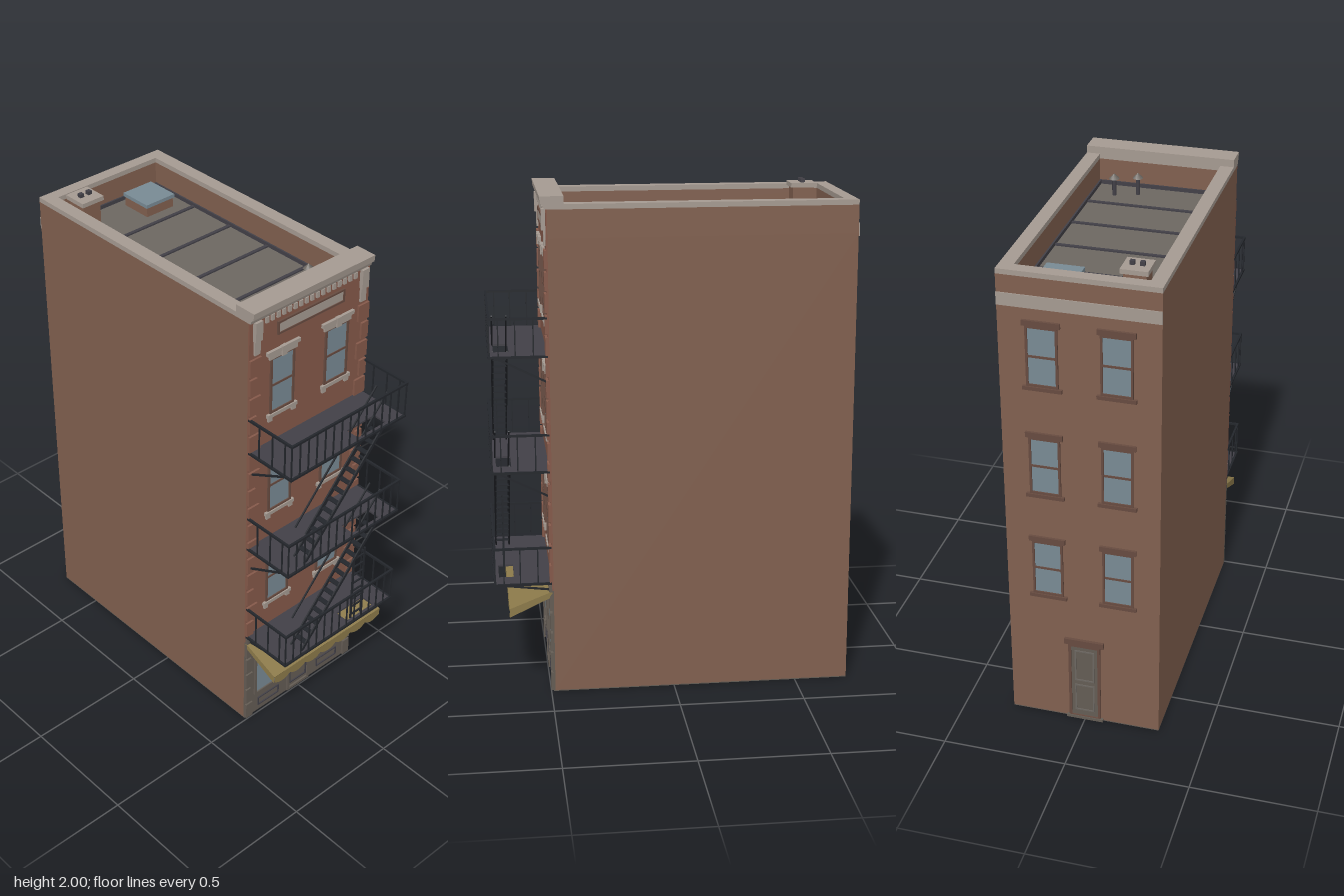
import * as THREE from 'three';

const material = (name, color, side = THREE.FrontSide) => {
  const m = new THREE.MeshStandardMaterial({ color, side });
  m.name = name;
  return m;
};

export function createModel() {
  const model = new THREE.Group();
  model.name = 'townhouse';
  const frontBrick = material('front brick', 0x85594a);
  const sideBrick = material('side brick', 0x81604f);
  const stone = material('pale stone', 0xa59a91);
  const grey = material('grey stone', 0x645c54);
  const iron = material('black iron', 0x23262b);
  const deckMat = material('deck', 0x424047);
  const glass = material('glass', 0x788a94);
  const roofMat = material('roofing', 0x6c6761);
  const canvas = material('awning canvas', 0x8c7a4a, THREE.DoubleSide);
  const trim = material('brown trim', 0x674b40);

  const group = (name, parent = model) => {
    const g = new THREE.Group();
    g.name = name;
    parent.add(g);
    return g;
  };
  const add = (parent, name, geo, mat) => {
    const m = new THREE.Mesh(geo, mat);
    m.name = name;
    parent.add(m);
    return m;
  };
  // Box given by its limits on each axis
  const box = (parent, name, mat, x0, x1, y0, y1, z0, z1) => {
    const m = add(parent, name, new THREE.BoxGeometry(x1 - x0, y1 - y0, z1 - z0), mat);
    m.position.set((x0 + x1) / 2, (y0 + y1) / 2, (z0 + z1) / 2);
    return m;
  };
  // Square bar between two points
  const bar = (parent, name, mat, a, b, w = 0.007, h = w) => {
    const p = new THREE.Vector3(...a), q = new THREE.Vector3(...b);
    const m = add(parent, name, new THREE.BoxGeometry(w, h, p.distanceTo(q)), mat);
    m.position.copy(p).add(q).multiplyScalar(0.5);
    m.lookAt(q);
    return m;
  };
  // Four-sided border around a rectangle on the facade
  const border = (parent, name, mat, x0, x1, y0, y1, z0, z1, w) => {
    box(parent, name, mat, x0, x0 + w, y0, y1, z0, z1);
    box(parent, name, mat, x1 - w, x1, y0, y1, z0, z1);
    box(parent, name, mat, x0 + w, x1 - w, y0, y0 + w, z0, z1);
    box(parent, name, mat, x0 + w, x1 - w, y1 - w, y1, z0, z1);
  };

  const W = 0.305, F = 0.49, B = -0.715, ROOF = 1.84, STEP = 0.462;

  // Main body, front skin and parapet
  const body = group('body');
  box(body, 'walls', sideBrick, -W, W, 0.004, ROOF, B, F - 0.006);
  box(body, 'foundation', grey, -W, W, 0, 0.004, B, F);
  box(body, 'frontWall', frontBrick, -W, W, 0.43, 1.95, F - 0.006, F);
  for (const s of [-1, 1]) {
    const [a, b] = s < 0 ? [-W, -0.25] : [0.25, W];
    box(body, 'sideParapet', sideBrick, a, b, ROOF, 1.95, B, F - 0.006);
    box(body, 'sideCoping', stone, a, b, 1.95, 1.97, B, 0.43);
  }
  box(body, 'backParapet', sideBrick, -0.25, 0.25, ROOF, 1.95, B, -0.665);
  box(body, 'backCoping', stone, -0.25, 0.25, 1.95, 1.97, B, -0.665);
  box(body, 'frontParapet', sideBrick, -0.25, 0.25, ROOF, 1.95, 0.42, F - 0.006);
  box(body, 'backBand', stone, -W, W, 1.83, 1.88, B - 0.004, B);

  // Roof deck, seams, chimney, skylight and vents
  const roof = group('roof');
  box(roof, 'roofDeck', roofMat, -0.25, 0.25, ROOF, ROOF + 0.004, -0.665, 0.42);
  for (const z of [-0.425, -0.21, 0.005, 0.22])
    box(roof, 'roofSeam', deckMat, -0.25, 0.25, ROOF, ROOF + 0.01, z - 0.007, z + 0.007);
  for (const s of [-1, 1]) box(roof, 'flashing', deckMat, s * 0.247 - 0.004, s * 0.247 + 0.004, ROOF, ROOF + 0.02, -0.665, 0.42);
  for (const z of [-0.662, 0.417]) box(roof, 'flashing', deckMat, -0.25, 0.25, ROOF, ROOF + 0.02, z - 0.004, z + 0.004);
  box(roof, 'chimney', sideBrick, -0.222, -0.138, ROOF, 1.97, -0.627, -0.543);
  box(roof, 'chimneyCap', stone, -0.232, -0.128, 1.967, 1.985, -0.637, -0.533);
  for (const x of [-0.199, -0.161]) box(roof, 'chimneyFlue', deckMat, x - 0.009, x + 0.009, 1.985, 2, -0.594, -0.576);
  box(roof, 'skylightCurb', sideBrick, 0.05, 0.185, ROOF, 1.885, -0.62, -0.485);
  box(roof, 'skylightGlass', glass, 0.045, 0.19, 1.885, 1.9, -0.625, -0.48);
  for (const [x, z] of [[0.07, 0.345], [0.16, 0.315]]) {
    add(roof, 'ventPipe', new THREE.CylinderGeometry(0.009, 0.009, 0.08, 8), deckMat).position.set(x, ROOF + 0.04, z);
    add(roof, 'ventCap', new THREE.ConeGeometry(0.022, 0.022, 8), roofMat).position.set(x, ROOF + 0.085, z);
  }

  // Front cornice with dentils, scroll brackets and frieze panel
  const cornice = group('cornice');
  const profile = new THREE.Shape([[0.42, 1.95], [0.495, 1.95], [0.5, 1.965], [0.51, 1.972], [0.513, 2], [0.42, 2]]
    .map(([z, y]) => new THREE.Vector2(-z, y)));
  const crown = add(cornice, 'crown', new THREE.ExtrudeGeometry(profile, { depth: 2 * W, bevelEnabled: false }), stone);
  crown.rotation.y = Math.PI / 2;
  crown.position.x = -W;
  for (let i = 0; i < 17; i++) {
    const x = -0.224 + i * 0.028;
    box(cornice, 'dentil', stone, x - 0.007, x + 0.007, 1.925, 1.95, F, F + 0.009);
  }
  for (const s of [-1, 1]) {
    const x = s * 0.27;
    box(cornice, 'bracketTop', stone, x - 0.017, x + 0.017, 1.87, 1.95, F, F + 0.016);
    box(cornice, 'bracketFoot', stone, x - 0.014, x + 0.014, 1.81, 1.87, F, F + 0.008);
  }
  box(cornice, 'friezePanel', stone, -0.162, 0.162, 1.858, 1.897, F, F + 0.005);
  border(cornice, 'friezeFrame', trim, -0.17, 0.17, 1.85, 1.905, F, F + 0.008, 0.008);

  // Corner quoins
  const quoins = group('quoins');
  for (let i = 0; i < 16; i++) {
    const y = 0.465 + i * 0.084, w = i % 2 ? 0.056 : 0.036;
    for (const s of [-1, 1])
      box(quoins, 'quoin', frontBrick, s < 0 ? -W : W - w, s < 0 ? -W + w : W, y, y + 0.07, F, F + 0.009);
  }

  // Sash windows; built facing +z, then placed on either wall
  const makeWindow = (name, lintel, fancy) => {
    const g = group(name);
    box(g, 'pane', glass, -0.053, 0.053, 0, 0.235, 0, 0.002);
    border(g, 'frame', trim, -0.061, 0.061, -0.005, 0.24, 0, 0.007, 0.009);
    box(g, 'meetingRail', trim, -0.053, 0.053, 0.112, 0.121, 0, 0.005);
    box(g, 'sill', lintel, -0.075, 0.075, -0.02, -0.005, 0, 0.012);
    if (fancy) {
      box(g, 'lintel', lintel, -0.07, 0.07, 0.236, 0.26, 0, 0.009);
      box(g, 'lintelCap', lintel, -0.082, 0.082, 0.256, 0.272, 0, 0.012);
      box(g, 'keystone', lintel, -0.012, 0.012, 0.234, 0.274, 0, 0.015);
      for (const x of [-0.06, 0.06]) box(g, 'sillBracket', lintel, x - 0.01, x + 0.01, -0.038, -0.02, 0, 0.009);
    } else box(g, 'lintel', lintel, -0.072, 0.072, 0.24, 0.262, 0, 0.01);
    return g;
  };
  for (let f = 0; f < 3; f++)
    for (const x of [-0.14, 0.14]) {
      makeWindow('frontWindow', stone, true).position.set(x, 0.598 + f * STEP, F);
      const back = makeWindow('backWindow', trim, false);
      back.position.set(x, 0.598 + f * STEP, B);
      back.rotation.y = Math.PI;
    }

  // Back door
  const door = group('backDoor');
  door.position.z = B;
  door.rotation.y = Math.PI;
  box(door, 'doorLeaf', grey, -0.055, 0.055, 0.01, 0.36, 0, 0.003);
  border(door, 'doorFrame', trim, -0.065, 0.065, 0.004, 0.37, 0, 0.008, 0.011);
  box(door, 'doorLintel', trim, -0.08, 0.08, 0.37, 0.395, 0, 0.012);
  box(door, 'doorStep', grey, -0.075, 0.075, 0, 0.012, 0, 0.012);
  for (const [a, b] of [[0.04, 0.17], [0.19, 0.34]]) border(door, 'doorPanel', roofMat, -0.04, 0.04, a, b, 0, 0.006, 0.006);

  // Ground floor shopfront
  const shop = group('shopfront');
  box(shop, 'shopWall', grey, -W, W, 0.004, 0.43, F - 0.006, F);
  box(shop, 'shopCornice', grey, -W, W, 0.425, 0.455, F, F + 0.012);
  for (const s of [-1, 1]) {
    const x = s * 0.172;
    box(shop, 'shopGlass', glass, x - 0.073, x + 0.073, 0.115, 0.4, F, F + 0.002);
    border(shop, 'shopFrame', grey, x - 0.082, x + 0.082, 0.105, 0.41, F, F + 0.008, 0.01);
    border(shop, 'lowerPanel', deckMat, x - 0.06, x + 0.06, 0.03, 0.072, F, F + 0.005, 0.005);
    for (let i = 0; i < 5; i++) {
      const w = i % 2 ? 0.026 : 0.036, y = 0.005 + i * 0.085;
      box(shop, 'baseQuoin', grey, s < 0 ? -W : W - w, s < 0 ? -W + w : W, y, y + 0.075, F, F + 0.01);
    }
  }
  box(shop, 'doorGlass', glass, -0.051, 0.051, 0.14, 0.39, F, F + 0.002);
  border(shop, 'doorFrame', grey, -0.064, 0.064, 0.004, 0.4, F, F + 0.008, 0.012);
  border(shop, 'doorPanel', deckMat, -0.05, 0.05, 0.035, 0.125, F, F + 0.005, 0.006);

  // Awning: sloping top, side flaps and scalloped valance
  const awning = group('awning');
  bar(awning, 'awningTop', canvas, [0, 0.425, F], [0, 0.358, 0.66], 2 * W, 0.005);
  const N = 7, sw = 2 * W / N, val = new THREE.Shape();
  val.moveTo(-W, 0.36);
  val.lineTo(-W, 0.332);
  for (let i = 0; i < N; i++) val.quadraticCurveTo(-W + (i + 0.5) * sw, 0.3, -W + (i + 1) * sw, 0.332);
  val.lineTo(W, 0.36);
  add(awning, 'valance', new THREE.ShapeGeometry(val, 6), canvas).position.z = 0.661;
  const flap = new THREE.Shape([[F, 0.425], [0.66, 0.358], [0.66, 0.325], [F, 0.405]].map(([z, y]) => new THREE.Vector2(-z, y)));
  for (const x of [-W, W]) {
    const m = add(awning, 'sideFlap', new THREE.ShapeGeometry(flap), canvas);
    m.rotation.y = Math.PI / 2;
    m.position.x = x;
  }

  // Fire escape: decks with a stair opening, railings and braces
  const escape = group('fireEscape');
  const rect = (C, x0, x1, z0, z1) => new C([[x0, -z0], [x0, -z1], [x1, -z1], [x1, -z0]].map(p => new THREE.Vector2(...p)));
  const deckShape = rect(THREE.Shape, -W, W, F, 0.715);
  deckShape.holes.push(rect(THREE.Path, 0.065, 0.215, 0.638, 0.698));
  const deckGeo = new THREE.ExtrudeGeometry(deckShape, { depth: 0.008, bevelEnabled: false }).rotateX(-Math.PI / 2);
  for (let f = 0; f < 3; f++) {
    const y = 0.461 + f * STEP, top = y + 0.15, g = group('balcony', escape);
    add(g, 'deck', deckGeo, deckMat).position.y = y - 0.004;
    bar(g, 'edgeBeam', iron, [-W, y, 0.715], [W, y, 0.715], 0.009);
    bar(g, 'topRail', iron, [-W, top, 0.715], [W, top, 0.715], 0.009);
    for (let i = 0; i <= 14; i++) {
      const x = -0.301 + i * 0.043;
      bar(g, 'baluster', iron, [x, y, 0.715], [x, top, 0.715], 0.005);
    }
    for (const x of [-0.301, 0.301]) {
      bar(g, 'sideRail', iron, [x, top, F], [x, top, 0.715], 0.009);
      bar(g, 'sideBeam', iron, [x, y, F], [x, y, 0.715], 0.009);
      for (const z of [0.545, 0.615, 0.68]) bar(g, 'baluster', iron, [x, y, z], [x, top, z], 0.005);
      bar(g, 'brace', iron, [x * 0.96, y - 0.005, 0.69], [x * 0.96, f ? y - 0.105 : y - 0.03, F], 0.007);
    }
    // Stair up to the next deck
    if (f < 2) {
      const s = group('stair', escape), y1 = y + STEP;
      for (const z of [0.645, 0.7]) {
        bar(s, 'stringer', iron, [-0.2, y, z], [0.21, y1, z], 0.006, 0.014);
        bar(s, 'handrail', iron, [-0.2, y + 0.145, z], [0.21, y1 + 0.145, z], 0.006);
      }
      for (let i = 1; i < 14; i++) {
        const t = i / 14, x = -0.2 + 0.41 * t;
        box(s, 'tread', iron, x - 0.011, x + 0.011, y + STEP * t - 0.002, y + STEP * t + 0.002, 0.645, 0.7);
      }
    }
  }

  // Drop ladder through the lowest deck
  const ladder = group('dropLadder', escape);
  for (const x of [0.11, 0.17]) bar(ladder, 'ladderRail', iron, [x, 0.435, 0.675], [x, 0.78, 0.675], 0.007);
  for (let i = 0; i < 8; i++) bar(ladder, 'rung', iron, [0.11, 0.455 + i * 0.042, 0.675], [0.17, 0.455 + i * 0.042, 0.675], 0.006);

  return model;
}
